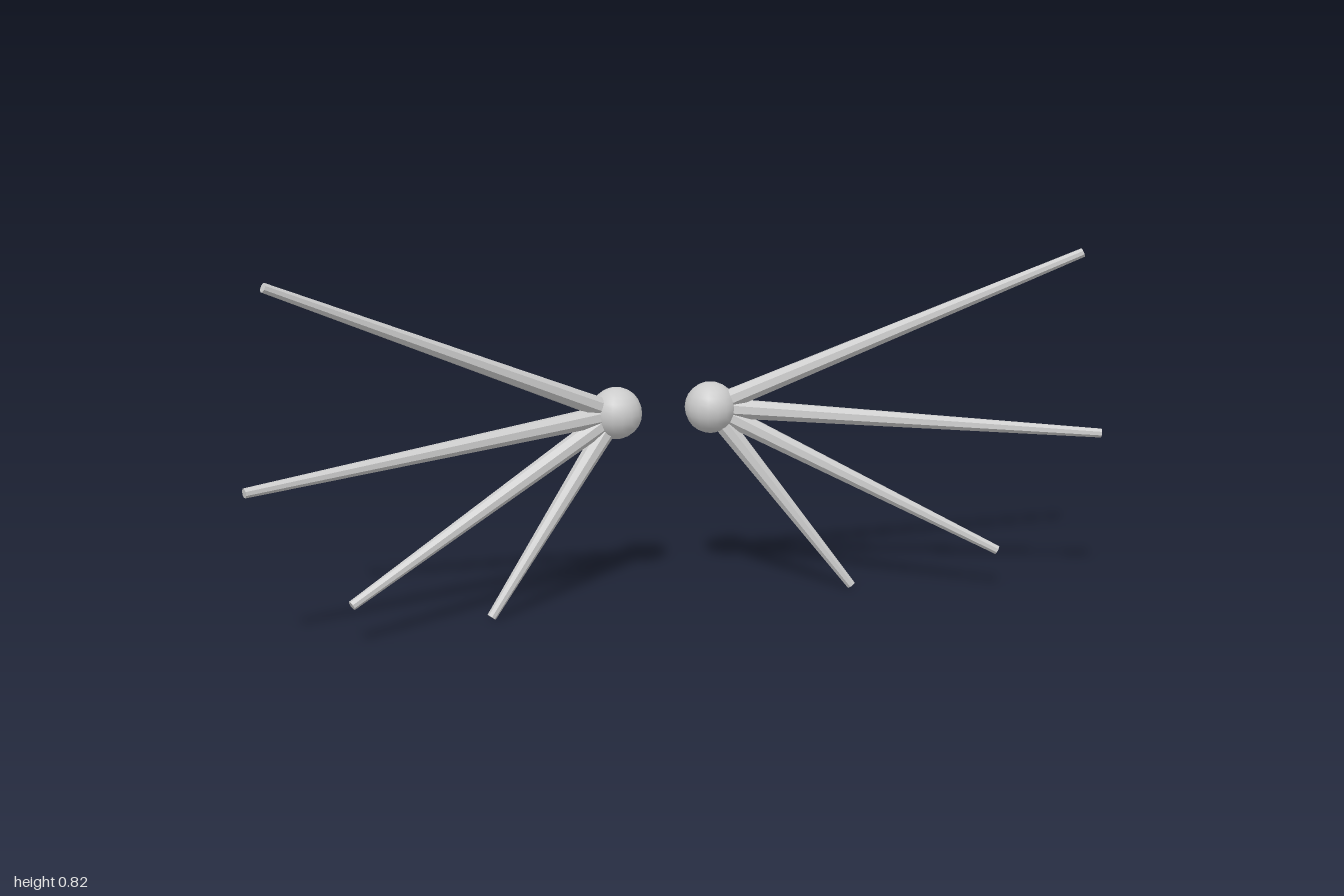
import * as THREE from 'three';

export function createModel() {
  const root = new THREE.Group();
  const smooth = new THREE.MeshStandardMaterial({ color: 0xcccccc });
  const faceted = new THREE.MeshStandardMaterial({ color: 0xcccccc, flatShading: true });
  const up = new THREE.Vector3(0, 1, 0);

  // Tip centres of the spokes on the left side, from top to bottom
  const tips = [
    [0.935, 0.814, 0.149],
    [0.994, 0.385, 0.165],
    [0.77, 0.097, 0.094],
    [0.44, 0.007, -0.013],
  ];

  for (const side of [1, -1]) {
    const fan = new THREE.Group();
    fan.name = side > 0 ? 'leftFan' : 'rightFan';
    const centre = new THREE.Vector3(side * 0.115, 0.444, -0.115);

    // Ball joint the spokes grow from
    const hub = new THREE.Mesh(new THREE.SphereGeometry(0.061, 16, 12), smooth);
    hub.name = 'hub';
    hub.position.copy(centre);
    fan.add(hub);

    // Tapered spokes running from the hub centre out to the tips
    tips.forEach(([x, y, z], i) => {
      const tip = new THREE.Vector3(side * x, y, z);
      const dir = tip.clone().sub(centre);
      const spoke = new THREE.Mesh(new THREE.CylinderGeometry(0.011, 0.025, dir.length(), 8), faceted);
      spoke.name = `spoke${i + 1}`;
      spoke.position.copy(centre).add(tip).multiplyScalar(0.5);
      spoke.quaternion.setFromUnitVectors(up, dir.normalize());
      fan.add(spoke);
    });
    root.add(fan);
  }
  return root;
}
